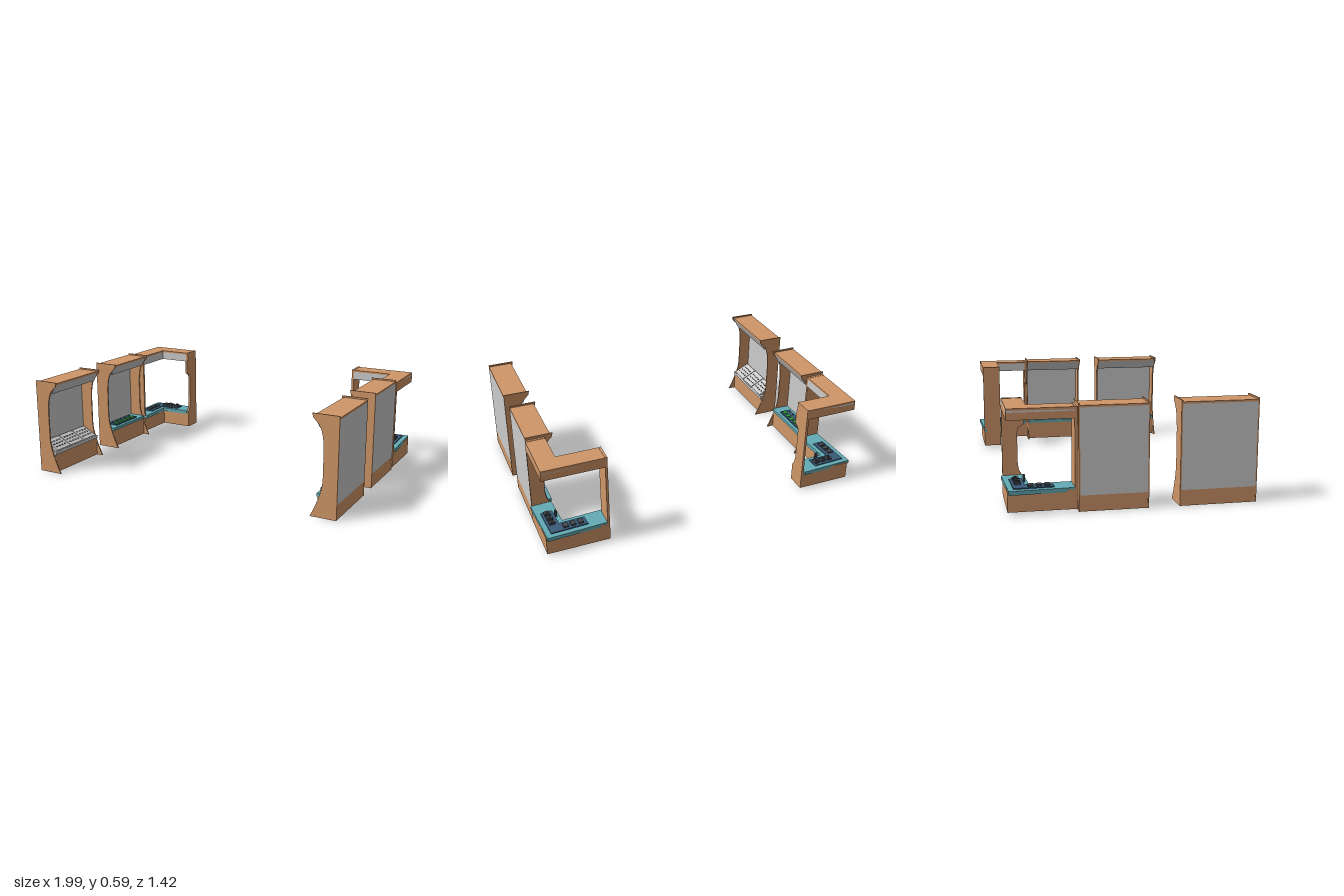
import * as THREE from 'three';

const mat = (color, side = THREE.FrontSide) => new THREE.MeshStandardMaterial({ color, side });
const BROWN = mat(0xcf9668), GREY = mat(0xcccccc), TEAL = mat(0x64acb5);
const NAVY = mat(0x3a5a78), DARK = mat(0x444a50), GREEN = mat(0x35c035), PALE = mat(0xeeeeee);

function add(parent, name, geometry, material) {
  const mesh = new THREE.Mesh(geometry, material);
  mesh.name = name;
  parent.add(mesh);
  return mesh;
}

// Box given by its minimum and maximum corners
function box(parent, name, material, [x0, y0, z0], [x1, y1, z1]) {
  const m = add(parent, name, new THREE.BoxGeometry(x1 - x0, y1 - y0, z1 - z0), material);
  m.position.set((x0 + x1) / 2, (y0 + y1) / 2, (z0 + z1) / 2);
  return m;
}

// Profile in x (depth) and y, extruded from z0 to z1
function profile(parent, name, material, shape, z0, z1) {
  const g = new THREE.ExtrudeGeometry(shape, { depth: z1 - z0, bevelEnabled: false, curveSegments: 10 });
  g.translate(0, 0, z0);
  return add(parent, name, g, material);
}
const poly = (pts) => new THREE.Shape(pts.map(([x, y]) => new THREE.Vector2(x, y)));

// Horizontal L-shaped slab with arms along +x and +z
function lSlab(parent, name, material, lx, lz, d, y0, y1) {
  const s = poly([[0, 0], [lx, 0], [lx, d], [d, d], [d, lz], [0, lz]]);
  const g = new THREE.ExtrudeGeometry(s, { depth: y1 - y0, bevelEnabled: false });
  g.rotateX(Math.PI / 2).translate(0, y1, 0);
  return add(parent, name, g, material);
}

function knob(parent, x, y, z, r = 0.004, h = 0.008, material = DARK) {
  const m = add(parent, 'knob', new THREE.CylinderGeometry(r, r, h, 8), material);
  m.position.set(x, y + h / 2, z);
}

// Side panel with a hollow curved front edge
function curvedPanelShape() {
  const s = new THREE.Shape();
  s.moveTo(0, 0);
  s.lineTo(0.157, 0);
  s.quadraticCurveTo(0.088, 0.14, 0.086, 0.22);
  s.lineTo(0.086, 0.39);
  s.quadraticCurveTo(0.088, 0.49, 0.118, 0.53);
  s.lineTo(0.152, 0.565);
  s.lineTo(0.157, 0.588);
  s.lineTo(0, 0.588);
  s.closePath();
  return s;
}

// Equipment on the straight counters; w is the half width of the counter
const equipment = {
  consoles(g, w) {
    const step = (2 * w - 0.03) / 3;
    for (let i = 0; i < 3; i++) {
      const z = -w + 0.015 + i * step;
      profile(g, 'slopedConsole', PALE, poly([[0.02, 0.12], [0.12, 0.12], [0.12, 0.145], [0.03, 0.192], [0.02, 0.192]]), z + 0.003, z + step - 0.003);
      for (let r = 0; r < 3; r++) for (let c = 0; c < 4; c++) {
        const b = box(g, 'consoleButton', DARK, [0, 0, 0], [0.007, 0.004, 0.014]);
        b.position.set(0.052 + r * 0.022, 0.1815 - r * 0.0115, z + step * (0.2 + c * 0.2));
        b.rotation.z = -0.48;
      }
    }
  },
  greenBoard(g, w) {
    box(g, 'board', NAVY, [0.03, 0.138, -w * 0.65], [0.1, 0.146, w * 0.65]);
    for (let i = 0; i < 5; i++) {
      const z = -w * 0.5 + i * w * 0.25;
      box(g, 'greenKey', GREEN, [0.065, 0.146, z - 0.012], [0.092, 0.152, z + 0.012]);
      knob(g, 0.045, 0.146, z);
    }
  },
  mixers(g, w) {
    for (let i = -1; i <= 1; i++) {
      const z = i * w * 0.6;
      box(g, 'mixer', NAVY, [0.03, 0.138, z - 0.045], [0.115, 0.158, z + 0.045]);
      box(g, 'mixerScreen', DARK, [0.03, 0.158, z - 0.035], [0.045, 0.18, z + 0.035]);
      for (const s of [-1, 1]) knob(g, 0.08, 0.158, z + s * 0.022, 0.014, 0.006);
    }
  },
  smallBoard(g, w) {
    box(g, 'board', NAVY, [0.04, 0.138, -w * 0.3], [0.1, 0.145, w * 0.3]);
    for (let i = -1; i <= 1; i++) knob(g, 0.07, 0.145, i * w * 0.2);
  },
};

// Straight booth: back at x = 0, open front facing +x, width along z
function straightBooth(name, width, kit) {
  const g = new THREE.Group();
  g.name = name;
  const h = width / 2, w = h - 0.008;
  profile(g, 'sidePanel', BROWN, curvedPanelShape(), -h, -w);
  profile(g, 'sidePanel', BROWN, curvedPanelShape(), w, h);
  box(g, 'base', BROWN, [0.001, 0.001, -w], [0.115, 0.12, w]);
  box(g, 'backPanel', GREY, [0, 0.09, -w], [0.008, 0.568, w]);
  box(g, 'roof', BROWN, [0, 0.568, -w], [0.145, 0.579, w]);
  profile(g, 'fascia', GREY, poly([[0.11, 0.512], [0.116, 0.512], [0.145, 0.569], [0.139, 0.569]]), -w, w);
  const pale = kit === 'consoles';
  box(g, 'counter', pale ? GREY : TEAL, [0.008, 0.118, -w], [0.122, 0.138, w]);
  equipment[kit](g, w);
  return g;
}

// Corner booth: outer corner at the origin, arms along +x and +z, open outer sides
function cornerBooth(name) {
  const g = new THREE.Group();
  g.name = name;
  const lx = 0.33, lz = 0.374, d = 0.114, t = 0.014;
  lSlab(g, 'base', BROWN, lx - t, lz - t, d, 0.017, 0.125);

  // Hollow canopy: roof, brown outer boards, grey inner fascia
  lSlab(g, 'roof', BROWN, lx - t, lz - t, d, 0.562, 0.573);
  box(g, 'outerBoard', BROWN, [0, 0.511, 0], [lx - t, 0.562, 0.008]);
  box(g, 'outerBoard', BROWN, [0, 0.511, 0.008], [0.008, 0.562, lz - t]);
  box(g, 'fascia', GREY, [d - 0.006, 0.511, d - 0.006], [lx - t, 0.562, d]);
  box(g, 'fascia', GREY, [d - 0.006, 0.511, d], [d, 0.562, lz - t]);
  lSlab(g, 'canopyLining', GREY, lx - t, lz - t, d - 0.006, 0.552, 0.561);

  // Straight end panel on one arm, curved and bracketed one on the other
  box(g, 'straightEndPanel', BROWN, [0, 0.017, lz - t], [d, 0.575, lz]);
  const s = new THREE.Shape();
  s.moveTo(0, 0.017);
  s.lineTo(d, 0.017);
  s.lineTo(d, 0.13);
  s.quadraticCurveTo(0.088, 0.155, 0.086, 0.22);
  s.lineTo(0.086, 0.34);
  s.quadraticCurveTo(0.086, 0.385, 0.09, 0.405);
  s.lineTo(0.124, 0.425);
  s.lineTo(0.124, 0.511);
  s.lineTo(d, 0.515);
  s.lineTo(d, 0.575);
  s.lineTo(0, 0.575);
  s.closePath();
  const panel = profile(g, 'bracketEndPanel', BROWN, s, 0, t);
  panel.rotation.y = -Math.PI / 2;
  panel.position.x = lx;

  // Counter set slightly askew, with its equipment
  const top = new THREE.Group();
  top.name = 'counterGroup';
  top.position.set(-0.014, 0, 0.006);
  top.rotation.y = 0.045;
  g.add(top);
  lSlab(top, 'counter', TEAL, lx - 0.005, lz - 0.005, 0.126, 0.113, 0.136);
  const mat2 = lSlab(top, 'equipmentMat', NAVY, 0.2, 0.22, 0.07, 0.136, 0.142);
  mat2.position.set(0.03, 0, 0.03);
  for (let i = 0; i < 3; i++) {
    box(top, 'controlUnit', DARK, [0.1 + i * 0.045, 0.142, 0.045], [0.13 + i * 0.045, 0.155, 0.08]);
    box(top, 'controlUnit', DARK, [0.045, 0.142, 0.11 + i * 0.045], [0.08, 0.152, 0.14 + i * 0.045]);
    knob(top, 0.115 + i * 0.045, 0.155, 0.062, 0.008, 0.006);
  }
  box(top, 'uprightUnit', DARK, [0.17, 0.136, 0.1], [0.186, 0.176, 0.112]);
  return g;
}

export function createModel() {
  const model = new THREE.Group();
  model.name = 'boothRow';
  const place = (g, x, z, turn) => {
    g.position.set(x, 0, z);
    g.rotation.y = turn;
    model.add(g);
  };
  // Right-hand row faces +x, left-hand row faces -x
  place(straightBooth('consoleBooth', 0.44, 'consoles'), -0.985, 0.496, 0);
  place(straightBooth('greenBoardBooth', 0.386, 'greenBoard'), -0.985, -0.09, 0);
  place(straightBooth('mixerBooth', 0.44, 'mixers'), 0.983, 0.39, Math.PI);
  place(straightBooth('smallBoardBooth', 0.39, 'smallBoard'), 0.98, -0.163, Math.PI);
  place(cornerBooth('rightCornerBooth'), -0.981, -0.663, 0);
  place(cornerBooth('leftCornerBooth'), 0.984, -0.69, -Math.PI / 2);
  return model;
}
